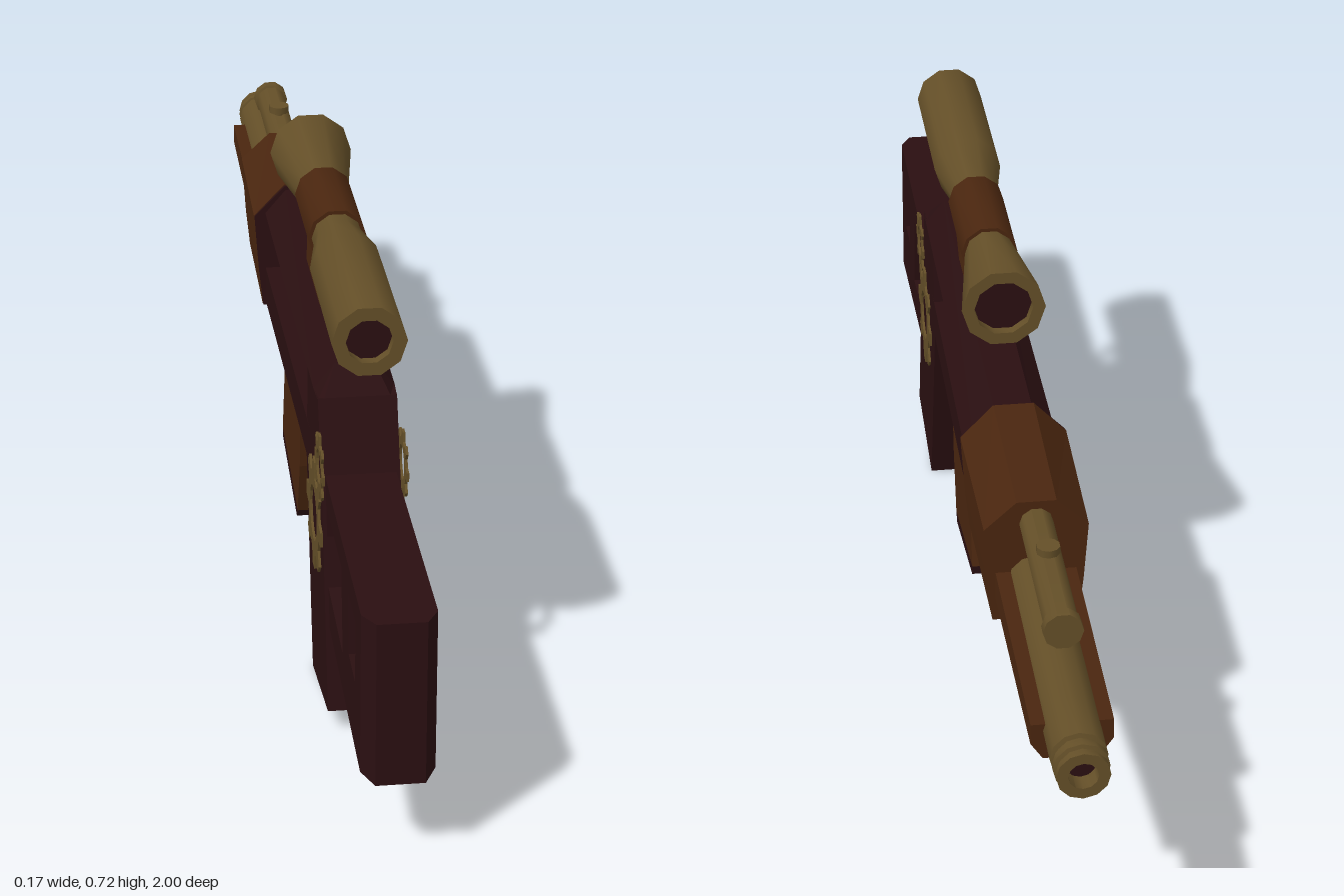
import * as THREE from 'three';
import { toCreasedNormals } from 'three/addons/utils/BufferGeometryUtils.js';

const mat = (name, color) => {
  const m = new THREE.MeshStandardMaterial({ color, side: THREE.DoubleSide });
  m.name = name;
  return m;
};

export function createModel() {
  const group = new THREE.Group();
  const dark = mat('dark wood', 0x2a0f11);
  const brown = mat('brown wood', 0x4a260f);
  const gold = mat('aged brass', 0x644f28);
  const steel = mat('grey steel', 0x47483b);

  const add = (name, geometry, material) => {
    const mesh = new THREE.Mesh(geometry, material);
    mesh.name = name;
    group.add(mesh);
    return mesh;
  };
  const toShape = pts => new THREE.Shape(pts.map(p => new THREE.Vector2(p[0], p[1])));

  // Side profile in [z, y], extruded across x
  const profile = (pts, half, holes = []) => {
    const shape = toShape(pts);
    holes.forEach(h => shape.holes.push(toShape(h)));
    const g = new THREE.ExtrudeGeometry(shape, { depth: half * 2, bevelEnabled: false });
    return g.translate(0, 0, -half).rotateY(-Math.PI / 2);
  };

  // Cross-sections [z, right half outline from bottom to top], mirrored and joined from +z to -z
  const loft = sections => {
    const rings = sections.map(([z, half]) => [
      ...half.map(([x, y]) => [x, y, z]),
      ...half.map(([x, y]) => [-x, y, z]).reverse()
    ]);
    const out = [];
    const n = rings[0].length;
    const tri = (...v) => v.forEach(p => out.push(...p));
    for (let s = 0; s < rings.length - 1; s++) {
      const a = rings[s], b = rings[s + 1];
      for (let i = 0; i < n; i++) {
        const j = (i + 1) % n;
        tri(a[i], b[i], a[j]);
        tri(a[j], b[i], b[j]);
      }
    }
    const first = rings[0], last = rings[rings.length - 1];
    for (let i = 1; i < n - 1; i++) {
      tri(first[0], first[i], first[i + 1]);
      tri(last[0], last[i + 1], last[i]);
    }
    const g = new THREE.BufferGeometry();
    g.setAttribute('position', new THREE.Float32BufferAttribute(out, 3));
    g.computeVertexNormals();
    return g;
  };

  // Turned part along z, profile in [radius, z] listed from +z to -z
  const turned = (pts, y, sides = 10) => {
    const g = new THREE.LatheGeometry(pts.map(([r, z]) => new THREE.Vector2(r, -z)), sides, Math.PI / 2);
    return toCreasedNormals(g.rotateX(-Math.PI / 2), 0.7).translate(0, y, 0);
  };

  // Stock with two openings and a chamfered butt
  add('stock', profile(
    [[0.97, 0.146], [0.97, 0.4], [0.5, 0.4], [0.5, 0.18]], 0.054,
    [[[0.91, 0.257], [0.91, 0.355], [0.825, 0.355], [0.835, 0.26]],
      [[0.765, 0.22], [0.745, 0.355], [0.57, 0.355], [0.57, 0.235]]]), dark);
  add('butt', loft([
    [1, [[0.036, 0.14], [0.036, 0.4]]],
    [0.97, [[0.054, 0.146], [0.054, 0.4]]]
  ]), dark);

  // Receiver: grip, top rail and bottom rail around an open window
  add('grip', profile([[0.635, 0.045], [0.432, 0.008], [0.348, 0.34], [0.365, 0.508],
    [0.5, 0.508], [0.53, 0.43], [0.553, 0.38]], 0.06), dark);
  add('topRail', loft([
    [0.5, [[0.06, 0.505], [0.05, 0.508]]],
    [0.46, [[0.062, 0.506], [0.03, 0.547]]],
    [-0.25, [[0.065, 0.506], [0.03, 0.547]]]
  ]), dark);
  add('bottomRail', loft([
    [0.4, [[0.06, 0.342], [0.06, 0.405]]],
    [-0.25, [[0.065, 0.342], [0.065, 0.405]]]
  ]), dark);
  add('boltSeat', profile([[0.38, 0.4], [0.38, 0.488], [0.355, 0.488], [0.31, 0.44], [0.31, 0.4]], 0.04), dark);
  add('bolt', turned([[0, 0.37], [0.037, 0.37], [0.037, 0.175], [0.028, 0.15], [0, 0.145]], 0.456), steel);

  // Trigger and guard
  add('triggerGuard', profile([[0.185, 0.345], [0.215, 0.245], [0.297, 0.208], [0.41, 0.208],
    [0.41, 0.23], [0.302, 0.23], [0.237, 0.265], [0.21, 0.345]], 0.02), dark);
  add('trigger', profile([[0.372, 0.345], [0.345, 0.345], [0.332, 0.295], [0.294, 0.264],
    [0.322, 0.256], [0.352, 0.283]], 0.012), gold);

  // Magazine
  add('magazine', profile([[0.174, 0.345], [-0.072, 0.345], [-0.074, 0.29], [-0.11, 0.162],
    [0.122, 0.122], [0.155, 0.22]], 0.05), brown);
  add('magazineBase', profile([[-0.11, 0.162], [0.122, 0.122], [0.11, 0.106], [-0.108, 0.146]], 0.05), dark);

  // Fore-end: broad sleeve, dark rear face, tapering barrel bed
  const sleeve = (k, top) => [[0.07 * k, 0.336], [0.077 * k, 0.4], [0.084 * k, 0.5], [0.032 * k, top]];
  add('foreEnd', loft([[-0.243, sleeve(1, 0.555)], [-0.51, sleeve(0.95, 0.546)]]), brown);
  add('foreEndRearFace', loft([[-0.238, sleeve(0.99, 0.553)], [-0.244, sleeve(0.99, 0.553)]]), dark);
  add('barrelBed', loft([
    [-0.5, [[0.046, 0.336], [0.062, 0.375], [0.062, 0.422]]],
    [-0.89, [[0.042, 0.358], [0.06, 0.385], [0.06, 0.418]]]
  ]), brown);

  // Barrel with ringed muzzle and bore
  add('barrel', turned([[0.043, -0.5], [0.042, -0.87], [0.042, -0.955], [0.035, -0.957], [0.035, -0.966],
    [0.041, -0.968], [0.041, -0.98], [0.035, -0.982], [0.035, -0.988], [0.039, -0.99], [0.039, -1],
    [0.022, -1], [0.022, -0.97]], 0.406, 12), gold);
  add('bore', turned([[0.022, -0.972], [0, -0.972]], 0.406, 12), dark);

  // Upper tube and pin
  add('upperTube', turned([[0.026, -0.5], [0.026, -0.775], [0.03, -0.777], [0.03, -0.795], [0, -0.795]], 0.508), gold);
  add('pin', new THREE.CylinderGeometry(0.007, 0.007, 0.12, 8).translate(0, 0.486, -0.635), gold);
  add('pinCap', new THREE.CylinderGeometry(0.018, 0.018, 0.012, 10).translate(0, 0.545, -0.635), gold);

  // Scope, lenses and mount
  const sy = 0.66;
  add('scope', turned([[0.035, 0.615], [0.035, 0.635], [0.056, 0.635], [0.056, 0.36], [0.04, 0.27],
    [0.04, 0.06], [0.067, -0.125], [0.047, -0.125], [0.047, -0.105]], sy), gold);
  add('rearLens', turned([[0, 0.618], [0.035, 0.618]], sy), dark);
  add('frontLens', turned([[0.047, -0.108], [0, -0.108]], sy), dark);
  add('scopeClamp', turned([[0.038, 0.243], [0.046, 0.243], [0.046, 0.06], [0.038, 0.06]], sy), brown);
  add('scopeMount', loft([0.243, 0.06].map(z =>
    [z, [[0.028, 0.54], [0.026, 0.6], [0.036, 0.635]]])), brown);

  // Paired gears on both sides of the grip
  const gear = (outer, root, hole, teeth) => {
    const pts = [];
    for (let i = 0; i < teeth; i++) {
      [[-0.3, root], [-0.17, outer], [0.17, outer], [0.3, root]].forEach(([d, r]) => {
        const a = (i + d) / teeth * Math.PI * 2;
        pts.push([Math.cos(a) * r, Math.sin(a) * r]);
      });
    }
    const shape = toShape(pts);
    shape.holes.push(new THREE.Path().absarc(0, 0, hole, 0, Math.PI * 2, true));
    return new THREE.ExtrudeGeometry(shape, { depth: 0.004, bevelEnabled: false, curveSegments: 8 })
      .translate(0, 0, -0.002).rotateY(-Math.PI / 2);
  };
  for (const side of [1, -1]) {
    const label = side > 0 ? 'left' : 'right';
    add(label + 'LargeGear', gear(0.092, 0.068, 0.044, 8), gold).position.set(side * 0.063, 0.307, 0.483);
    add(label + 'SmallGear', gear(0.053, 0.039, 0.027, 8), gold).position.set(side * 0.063, 0.42, 0.55);
  }
  return group;
}
